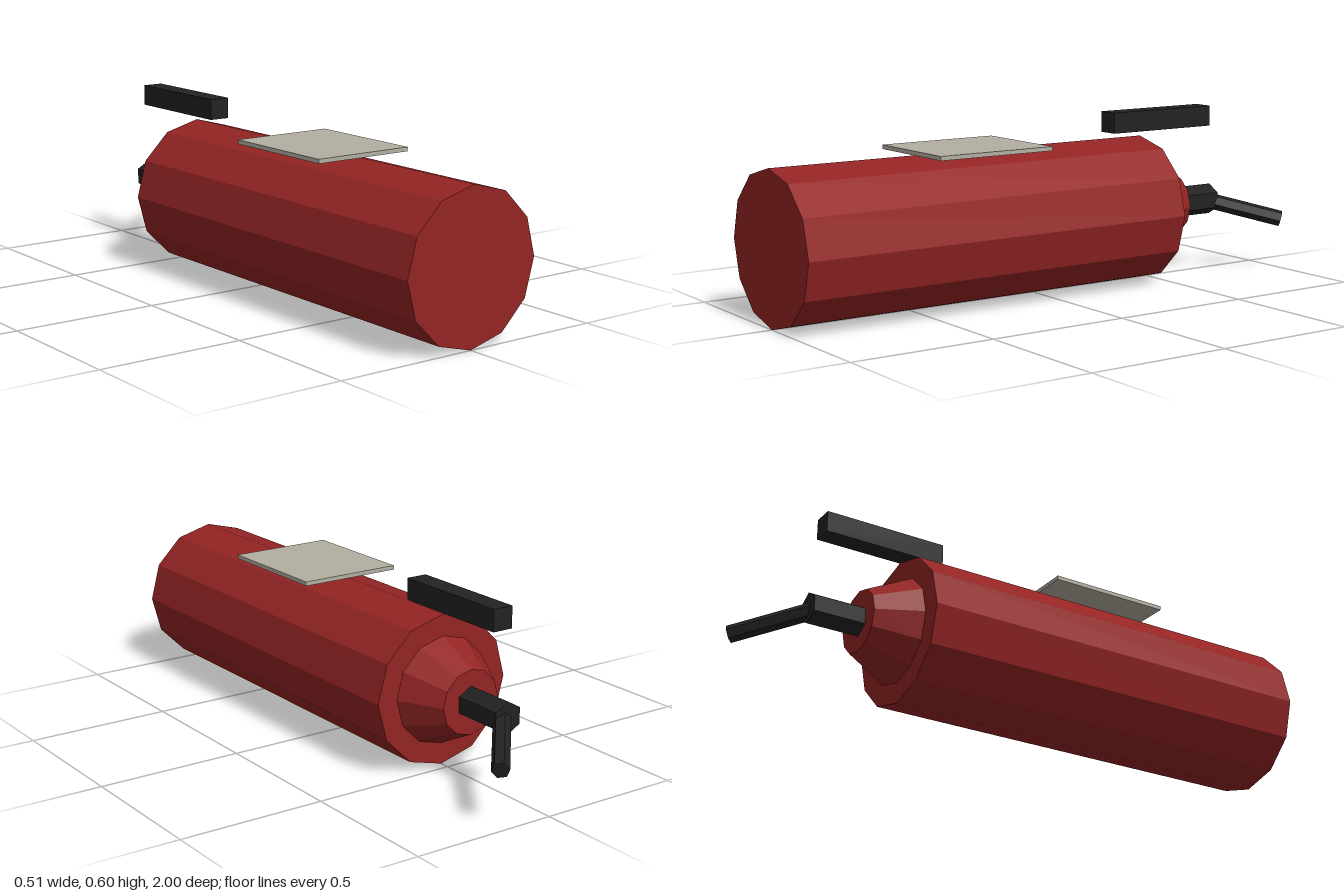
import * as THREE from 'three';

const mat = (name, color) => {
  const m = new THREE.MeshStandardMaterial({ color, flatShading: true });
  m.name = name;
  return m;
};

export function createModel() {
  const group = new THREE.Group();
  const red = mat('deep red', 0x942424);
  const black = mat('soft black', 0x222222);
  const paper = mat('label grey', 0xb2aea1);
  const axisY = 0.257;

  const add = (name, geometry, material, x, y, z) => {
    const mesh = new THREE.Mesh(geometry, material);
    mesh.name = name;
    mesh.position.set(x, y, z);
    group.add(mesh);
    return mesh;
  };

  // Faceted cylinder lying along z, from zFront back to zBack
  const barrel = (name, material, rFront, rBack, zFront, zBack, sides) => {
    const g = new THREE.CylinderGeometry(rBack, rFront, zFront - zBack, sides);
    g.rotateX(-Math.PI / 2);
    return add(name, g, material, 0, axisY, (zFront + zBack) / 2);
  };

  // Tank, tapered shoulder and valve
  barrel('tank', red, 0.256, 0.256, 1, -0.466, 12);
  barrel('shoulder', red, 0.183, 0.11, -0.466, -0.613, 12);
  barrel('valve', black, 0.055, 0.055, -0.613, -0.795, 6);

  // Angled hose leaving the valve
  const start = new THREE.Vector3(0, axisY, -0.767);
  const end = new THREE.Vector3(0.183, 0.188, -0.983);
  const dir = end.clone().sub(start);
  const mid = start.clone().add(end).multiplyScalar(0.5);
  const hose = add('hose', new THREE.CylinderGeometry(0.029, 0.029, dir.length(), 6), black, mid.x, mid.y, mid.z);
  hose.quaternion.setFromUnitVectors(new THREE.Vector3(0, 1, 0), dir.normalize());

  // Handle bar and label plate floating above the tank
  add('handle', new THREE.BoxGeometry(0.073, 0.073, 0.437), black, 0, 0.569, -0.541);
  add('labelPlate', new THREE.BoxGeometry(0.366, 0.0145, 0.437), paper, 0, 0.523, 0.267);

  return group;
}
